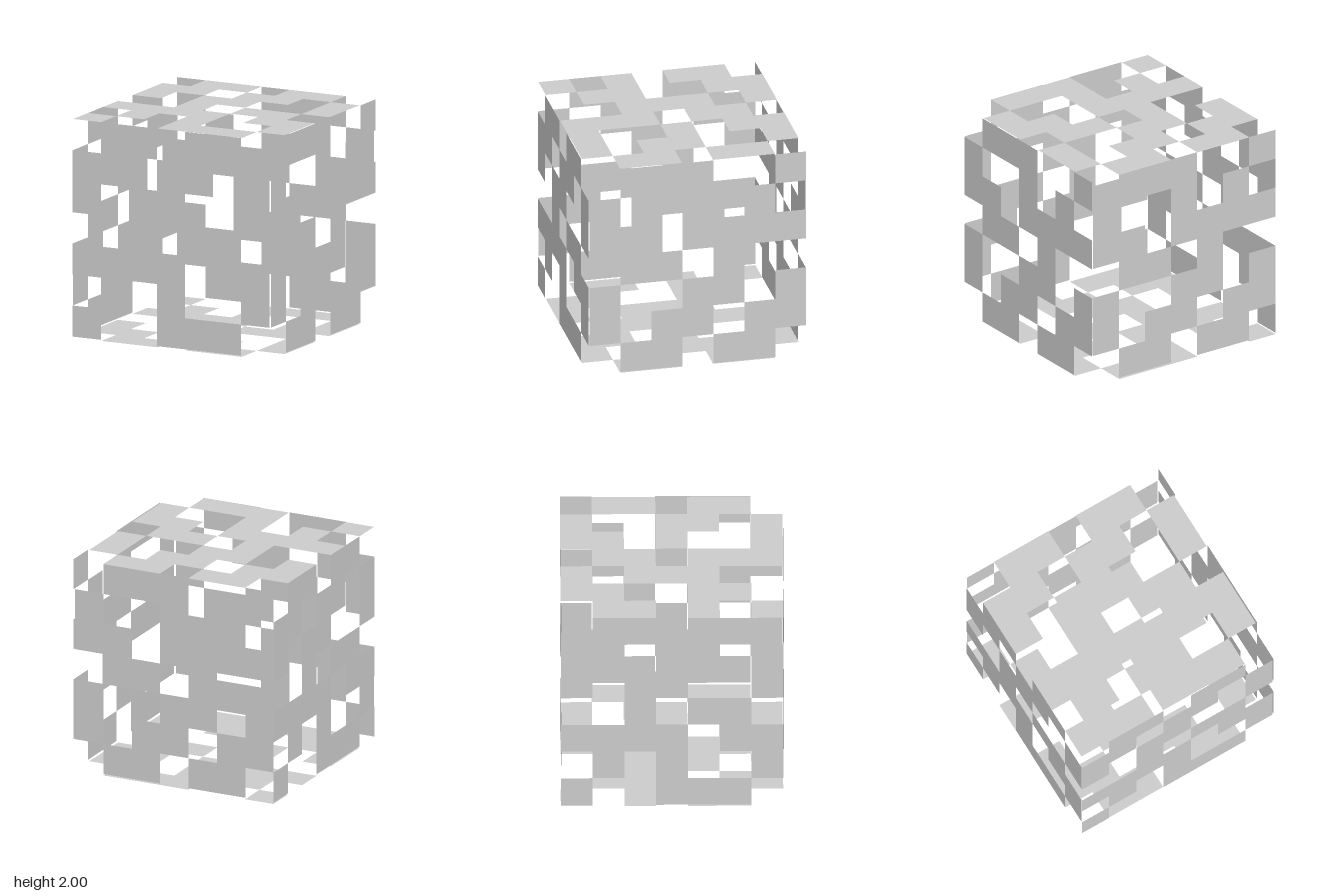
import * as THREE from 'three';
import { mergeGeometries, mergeVertices } from 'three/addons/utils/BufferGeometryUtils.js';

// Tile pattern shared by all six panels; opposite panels are flipped copies
const PATTERN = [
  '0110110',
  '1101101',
  '1011001',
  '0010110',
  '1111011',
  '0101001',
  '1001110',
];
const N = PATTERN.length;
const CELL = 0.284;
const at = (i) => -1 + CELL * (i + 0.5); // centre of tile i along an axis

// Builds one pierced panel: orient turns a tile, place gives its centre
function panel(name, material, orient, place, flipped) {
  const tiles = [];
  for (let r = 0; r < N; r++) {
    for (let c = 0; c < N; c++) {
      if (PATTERN[flipped ? N - 1 - r : r][c] !== '1') continue;
      const tile = new THREE.PlaneGeometry(CELL, CELL);
      tile.deleteAttribute('uv');
      orient(tile);
      tile.translate(...place(at(r), at(c)));
      tiles.push(tile);
    }
  }
  const mesh = new THREE.Mesh(mergeVertices(mergeGeometries(tiles), 1e-4), material);
  mesh.name = name;
  return mesh;
}

export function createModel() {
  const group = new THREE.Group();
  group.name = 'piercedCube';
  const material = new THREE.MeshStandardMaterial({ color: 0xcccccc, side: THREE.DoubleSide });

  // Front and back panels: rows run down, columns along x
  for (const [name, z, flip] of [['frontPanel', 0.995, false], ['backPanel', -0.995, true]]) {
    group.add(panel(name, material, (g) => g.rotateY(z > 0 ? 0 : Math.PI),
      (r, c) => [c, 1 - r, z], flip));
  }
  // Top and bottom panels: rows run along z, columns along x
  for (const [name, y, flip] of [['topPanel', 2, false], ['bottomPanel', 0, true]]) {
    group.add(panel(name, material, (g) => g.rotateX(y > 0 ? -Math.PI / 2 : Math.PI / 2),
      (r, c) => [c, y, r], flip));
  }
  // Side panels: rows run down, columns along z
  for (const [name, x, flip] of [['leftPanel', 1, true], ['rightPanel', -1, false]]) {
    group.add(panel(name, material, (g) => g.rotateY(x * Math.PI / 2),
      (r, c) => [x, 1 - r, c], flip));
  }
  return group;
}
